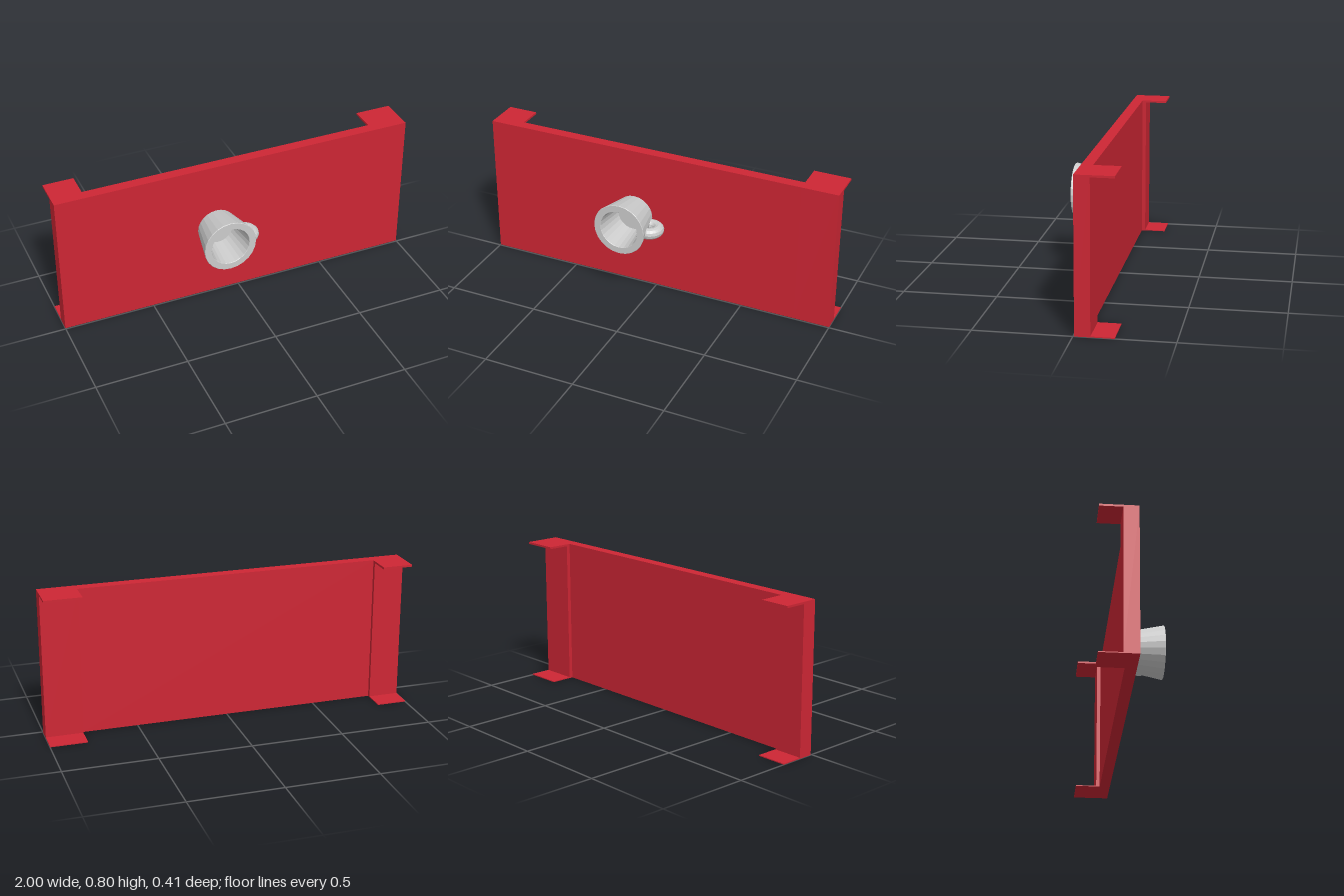
import * as THREE from 'three';

export function createModel() {
  const model = new THREE.Group();
  const red = new THREE.MeshStandardMaterial({ color: 0xcd2634, flatShading: true });
  const grey = new THREE.MeshStandardMaterial({ color: 0xcccccc, flatShading: true });

  // box given by its min and max corners
  function box(name, x0, x1, y0, y1, z0, z1) {
    const mesh = new THREE.Mesh(new THREE.BoxGeometry(x1 - x0, y1 - y0, z1 - z0), red);
    mesh.position.set((x0 + x1) / 2, (y0 + y1) / 2, (z0 + z1) / 2);
    mesh.name = name;
    model.add(mesh);
  }

  const H = 0.797, front = -0.006, postBack = -0.085, tabBack = -0.203;

  // panel between the two end posts
  box('panel', -0.835, 0.8, 0, H, -0.065, front);

  // end posts, each with a thin tab reaching back at top and bottom
  for (const [side, x0, x1] of [['right', -1, -0.835], ['left', 0.8, 1]]) {
    box(side + 'Post', x0, x1, 0, H, postBack, front);
    box(side + 'TopTab', x0, x1, H - 0.011, H, tabBack, postBack);
    box(side + 'BottomTab', x0, x1, 0, 0.005, tabBack, postBack);
  }

  // mug lying with its open end to the front
  const mug = new THREE.Group();
  mug.name = 'mug';
  mug.position.set(-0.129, 0.428, 0);
  const profile = [
    [0, 0.007], [0.106, 0.007], [0.146, 0.2], [0.144, 0.203],
    [0.109, 0.203], [0.107, 0.2], [0.085, 0.03], [0, 0.03],
  ].map(([r, h]) => new THREE.Vector2(r, h));
  const cup = new THREE.Mesh(new THREE.LatheGeometry(profile, 24).rotateX(Math.PI / 2), grey);
  cup.name = 'cup';
  mug.add(cup);

  // handle: part of a ring whose ends sink into the cup wall
  const ring = new THREE.TorusGeometry(0.048, 0.031, 12, 16, Math.PI * 7 / 6);
  ring.rotateZ(-Math.PI * 2 / 3).rotateX(Math.PI / 2);
  const handle = new THREE.Mesh(ring, grey);
  handle.name = 'handle';
  handle.position.set(0.127, -0.026, 0.087);
  mug.add(handle);
  model.add(mug);

  return model;
}
